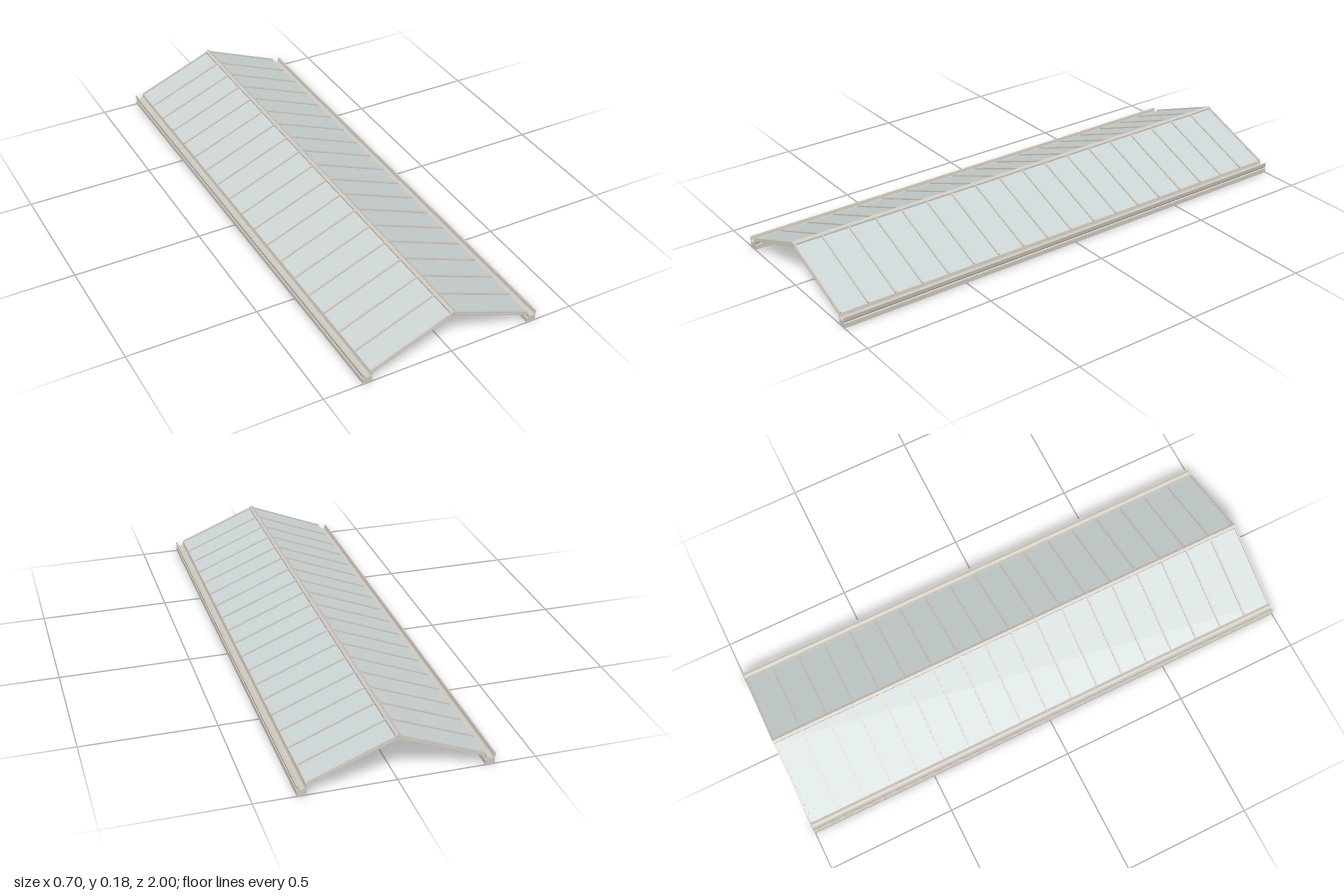
import * as THREE from 'three';

const LENGTH = 2;
const BAYS = 18;

const frameMat = new THREE.MeshStandardMaterial({ color: 0xcfcac0 });
const glassMat = new THREE.MeshStandardMaterial({ color: 0xccd5d5 });

// Extrudes a cross-section along the full length of the roof
function extrusion(name, shape) {
  const geo = new THREE.ExtrudeGeometry(shape, { depth: LENGTH, bevelEnabled: false, curveSegments: 10 });
  geo.translate(0, 0, -LENGTH / 2);
  const mesh = new THREE.Mesh(geo, frameMat);
  mesh.name = name;
  return mesh;
}

function box(name, w, h, d, x, y, z, mat) {
  const mesh = new THREE.Mesh(new THREE.BoxGeometry(w, h, d), mat);
  mesh.position.set(x, y, z);
  mesh.name = name;
  return mesh;
}

// Eaves beam with a rounded gutter channel on top
function gutter() {
  const s = new THREE.Shape();
  s.moveTo(-0.0175, 0);
  s.lineTo(0.0175, 0);
  s.lineTo(0.0175, 0.017);
  s.quadraticCurveTo(0.0165, 0.02, 0.012, 0.02);
  s.quadraticCurveTo(0.018, 0.025, 0.018, 0.033);
  s.lineTo(0.0195, 0.042);
  s.lineTo(0.014, 0.042);
  s.lineTo(0.0125, 0.033);
  s.quadraticCurveTo(0.011, 0.0235, 0, 0.0235);
  s.quadraticCurveTo(-0.011, 0.0235, -0.0125, 0.033);
  s.lineTo(-0.014, 0.042);
  s.lineTo(-0.0195, 0.042);
  s.lineTo(-0.018, 0.033);
  s.quadraticCurveTo(-0.018, 0.025, -0.012, 0.02);
  s.quadraticCurveTo(-0.0165, 0.02, -0.0175, 0.017);
  s.closePath();
  const mesh = extrusion('gutter', s);
  mesh.position.x = 0.3325;
  return mesh;
}

// Ridge beam with a small pointed cap
function ridge() {
  const s = new THREE.Shape();
  [[-0.01, 0.155], [0.01, 0.155], [0.01, 0.172], [0.004, 0.175], [0, 0.178], [-0.004, 0.175], [-0.01, 0.172]]
    .forEach(([x, y], i) => (i ? s.lineTo(x, y) : s.moveTo(x, y)));
  s.closePath();
  return extrusion('ridgeBeam', s);
}

// One glazed slope; local x runs down from ridge to eaves
function slope() {
  const g = new THREE.Group();
  g.name = 'glazedSlope';
  const dx = 0.308, dy = -0.124;
  const len = Math.hypot(dx, dy);
  g.position.set(0.007 + dx / 2, 0.165 + dy / 2, 0);
  g.rotation.z = Math.atan2(dy, dx);

  g.add(box('glassPane', len, 0.002, LENGTH - 0.004, 0, 0, 0, glassMat));
  for (let i = 0; i <= BAYS; i++) {
    const z = (i / BAYS - 0.5) * (LENGTH - 0.01);
    g.add(box('glazingCap', len, 0.005, 0.007, 0, 0.0035, z, frameMat));
    g.add(box('rafter', len - 0.002, 0.005, 0.01, 0, -0.0035, z, frameMat));
  }
  return g;
}

export function createModel() {
  const model = new THREE.Group();
  model.name = 'glassRoof';
  model.add(ridge());

  // The two halves are half-turns of each other
  [0, Math.PI].forEach((turn, i) => {
    const half = new THREE.Group();
    half.name = i ? 'rightHalf' : 'leftHalf';
    half.add(gutter(), slope());
    half.rotation.y = turn;
    model.add(half);
  });
  return model;
}
